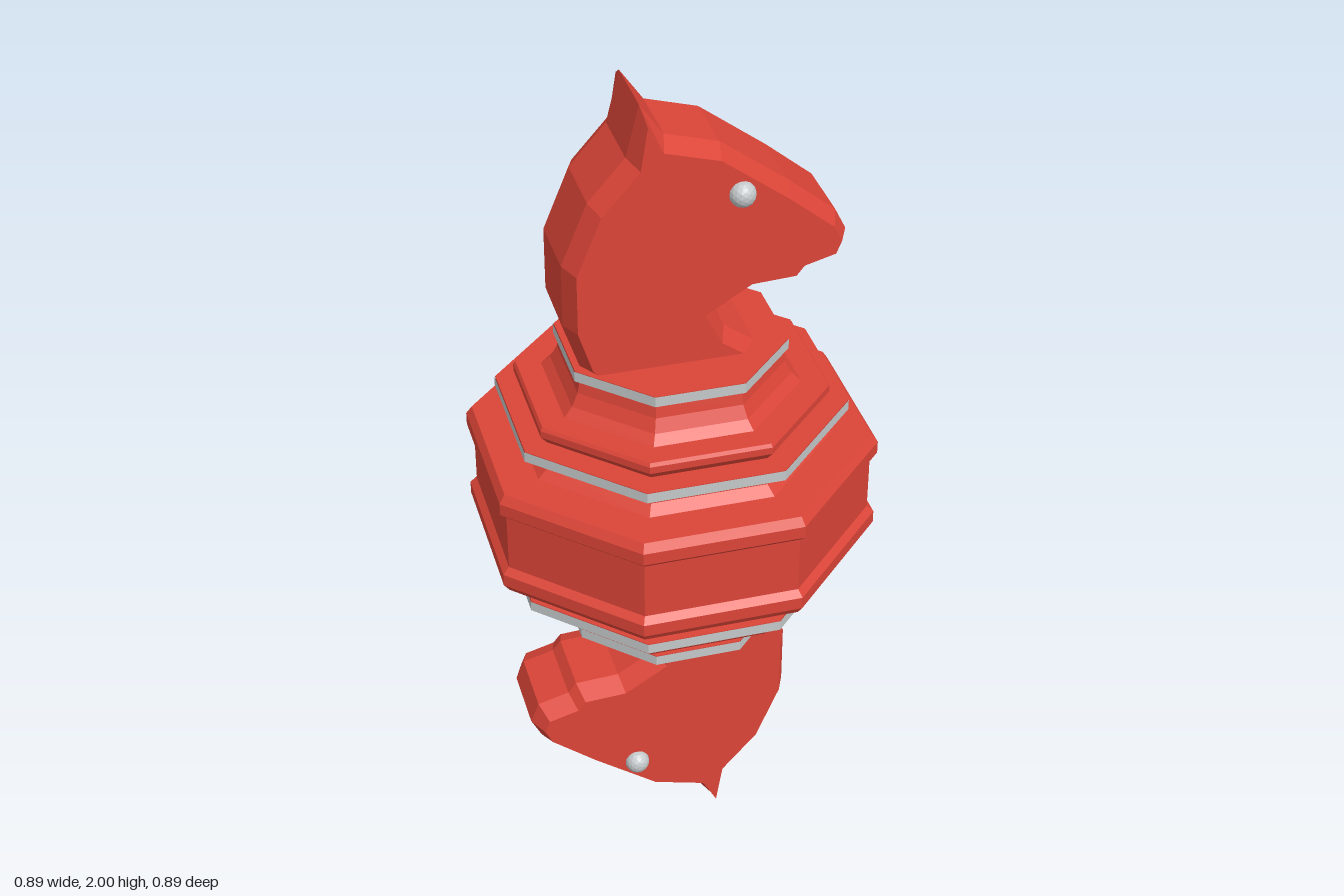
import * as THREE from 'three';

const red = new THREE.MeshStandardMaterial({ name: 'red', color: 0xdb4437, flatShading: true });
const silver = new THREE.MeshStandardMaterial({ name: 'silver', color: 0xc4c8ca, flatShading: true });

// Octagonal turning: profile is [half width across flats, y], from bottom to top
function octagon(profile, material, name) {
  const k = 1 / Math.cos(Math.PI / 8);
  const points = profile.map(([r, y]) => new THREE.Vector2(r * k, y));
  const mesh = new THREE.Mesh(new THREE.LatheGeometry(points, 8, Math.PI / 8), material);
  mesh.name = name;
  return mesh;
}

// Upper half of the body, from the top down; the lower half mirrors it
const halfProfile = [
  [0, 1.38], [0.245, 1.38], [0.245, 1.355], [0.233, 1.355], [0.24, 1.32], [0.255, 1.29], [0.275, 1.27],
  [0.33, 1.27], [0.335, 1.262], [0.335, 1.245], [0.32, 1.225],
  [0.375, 1.225], [0.375, 1.2], [0.345, 1.2], [0.34, 1.185], [0.322, 1.17], [0.322, 1.155], [0.345, 1.135],
  [0.43, 1.135], [0.443, 1.115], [0.443, 1.085], [0.428, 1.07],
];

// Horse head outline in the xy plane
const headOutline = [
  [-0.2, 1.35], [-0.23, 1.38], [-0.265, 1.49], [-0.265, 1.64], [-0.205, 1.785], [-0.12, 1.88],
  [-0.09, 2.0], [-0.037, 1.925], [0.085, 1.89], [0.24, 1.775], [0.35, 1.685], [0.375, 1.635],
  [0.355, 1.585], [0.28, 1.565], [0.26, 1.54], [0.155, 1.535], [0.072, 1.485], [0.1, 1.43],
  [0.17, 1.38], [0.19, 1.35],
];

function createHead(name) {
  const head = new THREE.Group();
  head.name = name;
  const shape = new THREE.Shape(headOutline.map(([x, y]) => new THREE.Vector2(x, y)));
  const geometry = new THREE.ExtrudeGeometry(shape, {
    depth: 0.164, bevelEnabled: true, bevelThickness: 0.05, bevelSize: 0.022, bevelOffset: -0.022, bevelSegments: 1,
  });
  geometry.translate(0, 0, -0.082);
  const horse = new THREE.Mesh(geometry, red);
  horse.name = 'horseHead';
  head.add(horse);
  // An eye on each cheek
  for (const side of [1, -1]) {
    const eye = new THREE.Mesh(new THREE.IcosahedronGeometry(0.03, 2), silver);
    eye.name = side > 0 ? 'frontEye' : 'backEye';
    eye.position.set(0.122, 1.785, side * 0.132);
    head.add(eye);
  }
  return head;
}

export function createModel() {
  const model = new THREE.Group();
  model.name = 'doubleHorsePiece';

  const lower = halfProfile.map(([r, y]) => [r, 2 - y]);
  model.add(octagon([...lower, ...[...halfProfile].reverse()], red, 'body'));

  // Silver bands on the rims, above and below the middle
  for (const [r, low, high] of [[0.375, 1.2, 1.225], [0.245, 1.355, 1.38]]) {
    model.add(octagon([[r + 0.002, low], [r + 0.002, high]], silver, 'upperBand'));
    model.add(octagon([[r + 0.002, 2 - high], [r + 0.002, 2 - low]], silver, 'lowerBand'));
  }

  // The lower head is the upper one turned half a circle
  model.add(createHead('upperHead'));
  const lowerHead = createHead('lowerHead');
  lowerHead.rotation.z = Math.PI;
  lowerHead.position.y = 2;
  model.add(lowerHead);
  return model;
}
